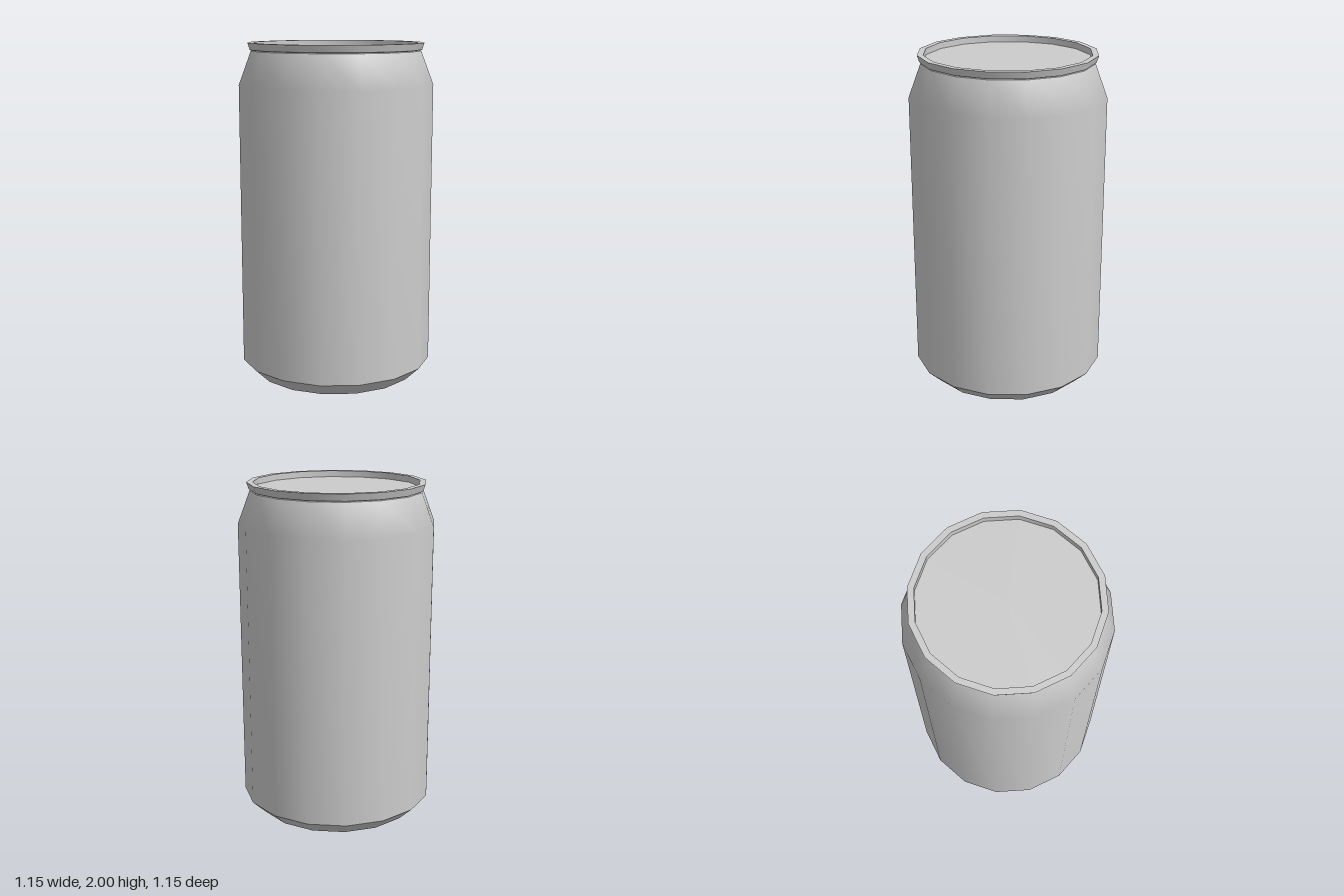
import * as THREE from 'three';

const SIDES = 16;
const START = THREE.MathUtils.degToRad(-3.7);

export function createModel() {
  const group = new THREE.Group();
  group.name = 'drinkCan';
  const material = new THREE.MeshStandardMaterial({ color: 0xcccccc });

  // Each band is its own lathe, so normals are smooth inside it and sharp between bands.
  const band = (name, ...profile) => {
    const points = profile.map(([r, y]) => new THREE.Vector2(r, y));
    const mesh = new THREE.Mesh(new THREE.LatheGeometry(points, SIDES, START), material);
    mesh.name = name;
    group.add(mesh);
  };

  // Hollow underside
  band('baseDomeTop', [0, 0.21], [0.28, 0.21]);
  band('baseDomeWall', [0.28, 0.21], [0.435, 0.06], [0.457, 0]);
  band('baseRing', [0.457, 0], [0.49, 0]);
  band('baseChamfer', [0.49, 0], [0.578, 0.085]);

  // Side wall running smoothly into the shoulder
  band('body', [0.578, 0.085], [0.578, 1.76], [0.505, 1.953]);

  // Narrow groove under the rim
  band('neckGrooveLower', [0.505, 1.953], [0.498, 1.956]);
  band('neckGrooveUpper', [0.498, 1.956], [0.51, 1.96]);

  // Rim and recessed lid
  band('rimOuter', [0.51, 1.96], [0.523, 2]);
  band('rimTop', [0.523, 2], [0.487, 2]);
  band('rimInner', [0.487, 2], [0.487, 1.963]);
  band('lid', [0.487, 1.963], [0, 1.963]);

  return group;
}
